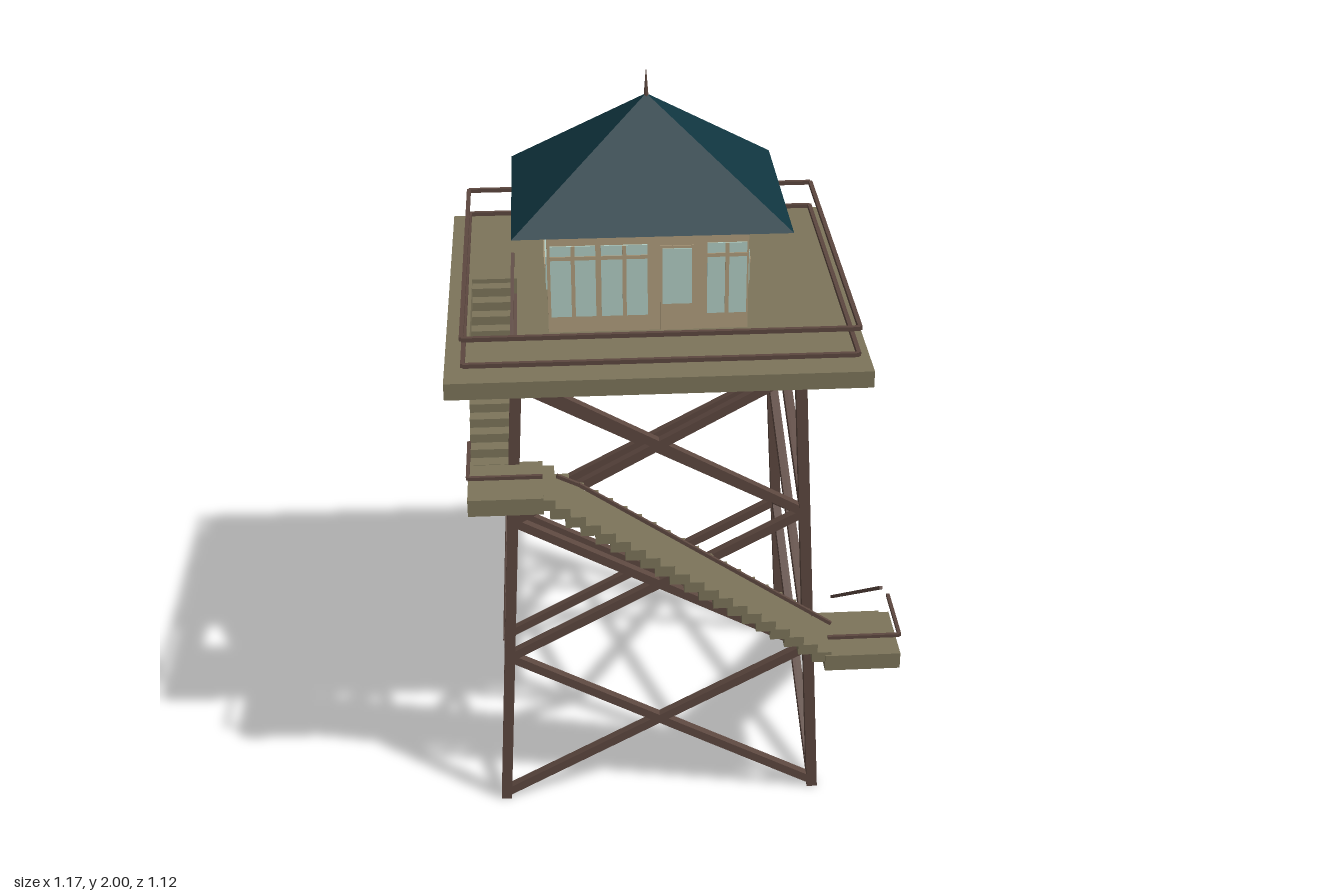
import * as THREE from 'three';

const mat = (name, color) => {
  const m = new THREE.MeshStandardMaterial({ color });
  m.name = name;
  return m;
};
const V = (x, y, z) => new THREE.Vector3(x, y, z);

export function createModel() {
  const planks = mat('weathered planks', 0x7c745a);
  const timber = mat('brown timber', 0x5c473f);
  const roofing = mat('dark teal roof', 0x10353f);
  const wall = mat('tan wall', 0xae9c7c);
  const glass = mat('pale glass', 0xb0ccc2);

  const model = new THREE.Group();
  model.name = 'lookoutTower';
  const group = (name) => {
    const g = new THREE.Group();
    g.name = name;
    model.add(g);
    return g;
  };
  const add = (parent, name, geo, m, x = 0, y = 0, z = 0) => {
    const mesh = new THREE.Mesh(geo, m);
    mesh.name = name;
    mesh.position.set(x, y, z);
    parent.add(mesh);
    return mesh;
  };
  // Box given by its limits on each axis
  const block = (parent, name, m, x0, x1, y0, y1, z0, z1) =>
    add(parent, name, new THREE.BoxGeometry(x1 - x0, y1 - y0, z1 - z0), m,
      (x0 + x1) / 2, (y0 + y1) / 2, (z0 + z1) / 2);
  // Square bar between two points
  const beam = (parent, name, a, b, t) => {
    const mid = a.clone().lerp(b, 0.5);
    const bar = add(parent, name, new THREE.BoxGeometry(t, t, a.distanceTo(b)), timber, mid.x, mid.y, mid.z);
    bar.lookAt(b);
  };
  const rail = (parent, name, points, t = 0.011) => {
    for (let i = 1; i < points.length; i++) beam(parent, name, points[i - 1], points[i], t);
  };

  // Legs lean inward in x only
  const cx = -0.048, cz = -0.027, legZ = 0.392;
  const leg = (sx, sz, y) => V(cx + sx * (0.434 - 0.054 * y), y, cz + sz * legZ);
  const frame = group('towerFrame');
  for (const sx of [-1, 1]) for (const sz of [-1, 1])
    beam(frame, 'leg', leg(sx, sz, 0.002), leg(sx, sz, 1.35), 0.029);

  // Cross bracing, three tiers on four sides
  const nodes = [0.02, 0.48, 0.91, 1.33];
  for (let i = 0; i < 3; i++) {
    const lo = nodes[i], hi = nodes[i + 1];
    for (const s of [-1, 1]) for (const d of [-1, 1]) {
      beam(frame, 'crossBrace', leg(-d, s, lo), leg(d, s, hi), 0.024);
      beam(frame, 'crossBrace', leg(s, -d, lo), leg(s, d, hi), 0.024);
    }
  }

  // Deck with a stair opening
  const rect = (P, x0, x1, z0, z1) => {
    const p = new P();
    p.moveTo(x0, z0);
    p.lineTo(x1, z0);
    p.lineTo(x1, z1);
    p.lineTo(x0, z1);
    p.closePath();
    return p;
  };
  const deckShape = rect(THREE.Shape, -0.586, 0.48, -0.56, 0.506);
  deckShape.holes.push(rect(THREE.Path, -0.526, -0.405, -0.11, 0.243));
  const deckGeo = new THREE.ExtrudeGeometry(deckShape, { depth: 0.045, bevelEnabled: false });
  deckGeo.rotateX(Math.PI / 2);
  add(model, 'deck', deckGeo, planks, 0, 1.39, 0);

  // Deck railing, two bars all round
  const railing = group('deckRailing');
  for (const y of [1.418, 1.49])
    rail(railing, 'deckRail', [V(-0.538, y, -0.507), V(0.445, y, -0.507), V(0.445, y, 0.464),
      V(-0.538, y, 0.464), V(-0.538, y, -0.507)]);

  // Stair flights: overlapping tread blocks from point a up to point b
  const flight = (name, a, b, steps, width) => {
    const g = group(name);
    const alongX = a.z === b.z;
    const run = Math.abs(alongX ? b.x - a.x : b.z - a.z) / steps + 0.014;
    for (let i = 0; i < steps; i++) {
      const p = a.clone().lerp(b, (i + 0.5) / steps);
      add(g, 'tread', new THREE.BoxGeometry(alongX ? run : width, 0.03, alongX ? width : run), planks, p.x, p.y, p.z);
    }
    return g;
  };
  const lower = flight('lowerStairs', V(0.472, 0.008, -0.415), V(0.472, 0.555, 0.37), 21, 0.172);
  rail(lower, 'handrail', [V(0.555, 0.09, -0.455), V(0.555, 0.655, 0.36)], 0.009);
  const middle = flight('middleStairs', V(0.39, 0.555, 0.462), V(-0.365, 1.075, 0.462), 20, 0.178);
  rail(middle, 'handrail', [V(0.39, 0.675, 0.55), V(-0.26, 1.12, 0.55), V(-0.315, 1.147, 0.55)], 0.009);
  const upper = flight('upperStairs', V(-0.478, 1.06, 0.37), V(-0.478, 1.375, -0.12), 13, 0.116);
  rail(upper, 'handrail', [V(-0.428, 1.147, 0.365), V(-0.428, 1.175, 0.31), V(-0.414, 1.455, -0.13)], 0.009);

  // Corner landings with a single rail
  const low = group('lowerLanding');
  block(low, 'landing', planks, 0.38, 0.58, 0.528, 0.574, 0.358, 0.556);
  rail(low, 'landingRail', [V(0.385, 0.63, 0.55), V(0.575, 0.63, 0.55), V(0.575, 0.63, 0.36)], 0.009);
  const high = group('upperLanding');
  block(high, 'landing', planks, -0.54, -0.35, 1.04, 1.086, 0.365, 0.556);
  rail(high, 'landingRail', [V(-0.35, 1.147, 0.55), V(-0.536, 1.147, 0.55), V(-0.536, 1.147, 0.365)], 0.009);

  // Cabin
  const cabin = group('cabin');
  block(cabin, 'cabinWalls', wall, -0.323, 0.19, 1.385, 1.67, -0.29, 0.233);

  // Window: glass plate with thin bars, facing +z
  const pane = (side, x0, x1, y0, y1, cols, barY) => {
    block(side, 'windowGlass', glass, x0, x1, y0, y1, 0, 0.004);
    for (let i = 1; i < cols; i++) {
      const x = x0 + (x1 - x0) * i / cols;
      block(side, 'windowBar', wall, x - 0.005, x + 0.005, y0, y1, 0.001, 0.007);
    }
    if (barY) block(side, 'windowBar', wall, x0, x1, barY - 0.005, barY + 0.005, 0.001, 0.007);
  };
  const wallSide = (name, x, z, turn) => {
    const g = new THREE.Group();
    g.name = name;
    g.position.set(x, 0, z);
    g.rotation.y = turn;
    cabin.add(g);
    return g;
  };
  const front = wallSide('frontWindows', 0, 0.233, 0);
  for (const [a, b] of [[-0.315, -0.2], [-0.186, -0.068], [0.084, 0.185]])
    pane(front, a, b, 1.435, 1.63, 2, 1.598);
  block(front, 'door', wall, -0.036, 0.05, 1.39, 1.625, 0, 0.003);
  block(front, 'doorGlass', glass, -0.03, 0.045, 1.465, 1.618, 0.002, 0.006);

  const back = wallSide('backWindows', -0.0665, -0.29, Math.PI);
  for (let i = 0; i < 4; i++) {
    const c = (i - 1.5) * 0.127;
    pane(back, c - 0.057, c + 0.057, 1.435, 1.63, 2, 1.598);
  }
  for (const s of [-1, 1]) {
    const g = wallSide(s > 0 ? 'leftWindows' : 'rightWindows', s > 0 ? 0.19 : -0.323, -0.0285, s * Math.PI / 2);
    for (let i = -1; i <= 1; i++) {
      const c = i * 0.168;
      pane(g, c - 0.077, c + 0.077, 1.505, 1.595, 1, 1.57);
    }
  }

  // Pyramid roof with flat facets, and finial
  const roofGeo = new THREE.ConeGeometry(Math.SQRT1_2, 1, 4).rotateY(Math.PI / 4).scale(0.71, 0.275, 0.582).toNonIndexed();
  roofGeo.computeVertexNormals();
  add(model, 'roof', roofGeo, roofing, -0.055, 1.8, -0.028);
  add(model, 'finial', new THREE.CylinderGeometry(0.001, 0.007, 0.07, 6), timber, -0.055, 1.965, -0.028);

  return model;
}
